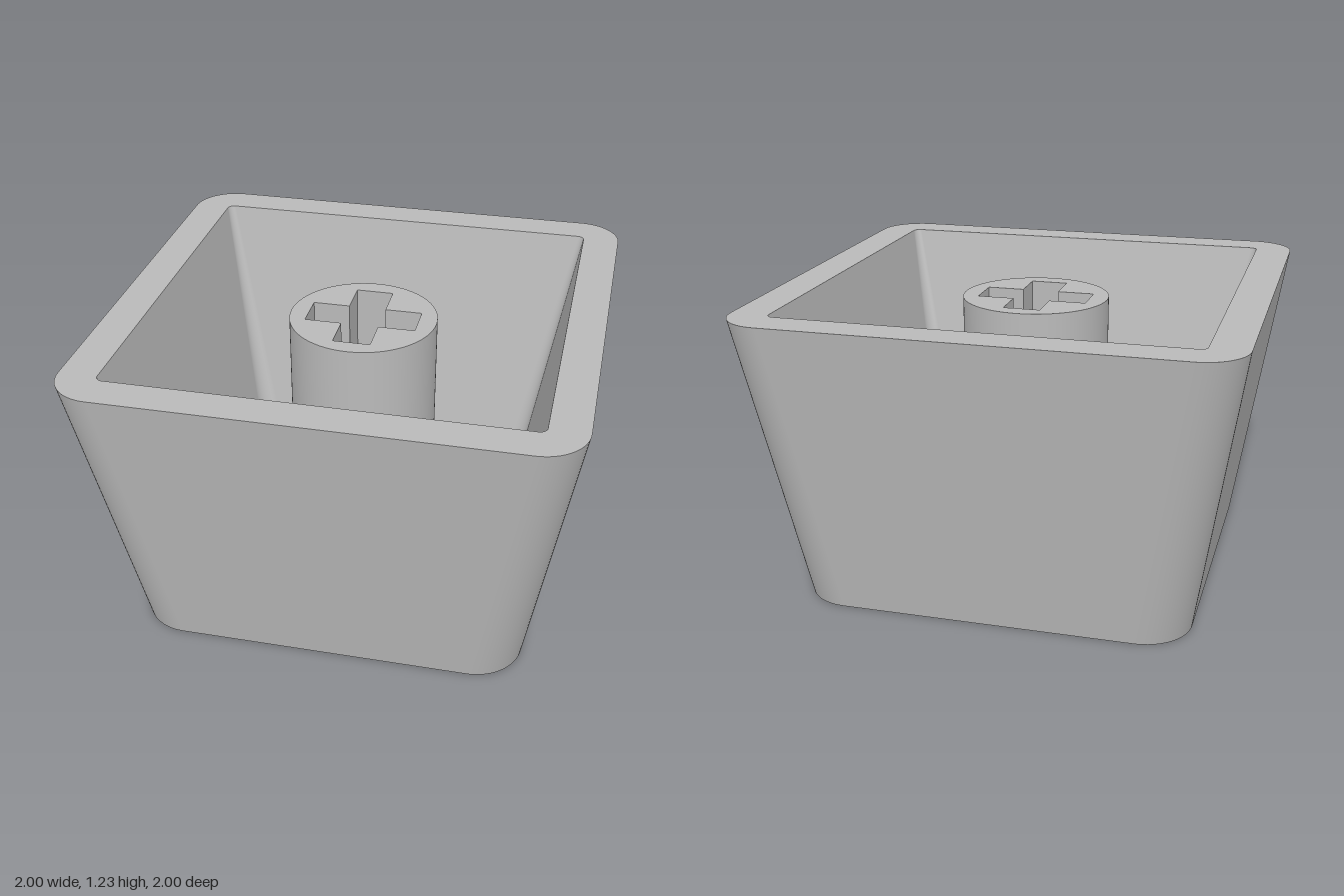
import * as THREE from 'three';
import { toCreasedNormals } from 'three/addons/utils/BufferGeometryUtils.js';

const HEIGHT = 1.225, FLOOR = 0.16, STEM_TOP = 1.155, ARC = 16;

// Rounded square outline: points with the heading of their side normal
function ring(half, radius) {
  const points = [];
  for (let corner = 0; corner < 4; corner++) {
    const mid = (corner + 0.5) * Math.PI / 2, c = half - radius;
    for (let i = 0; i <= ARC; i++) {
      const angle = (corner + i / ARC) * Math.PI / 2;
      points.push({
        angle,
        x: Math.sign(Math.cos(mid)) * c + radius * Math.cos(angle),
        z: Math.sign(Math.sin(mid)) * c + radius * Math.sin(angle),
      });
    }
  }
  return points;
}

// Tapered wall between two outlines, with exact smooth normals
function taperedWall(low, yLow, high, yHigh, inward) {
  const positions = [], normals = [], index = [], n = low.length;
  low.forEach((a, i) => {
    const b = high[i];
    const rise = new THREE.Vector3(b.x - a.x, yHigh - yLow, b.z - a.z);
    const along = new THREE.Vector3(-Math.sin(a.angle), 0, Math.cos(a.angle));
    const normal = rise.cross(along).normalize().multiplyScalar(inward ? -1 : 1);
    positions.push(a.x, yLow, a.z, b.x, yHigh, b.z);
    normals.push(...normal.toArray(), ...normal.toArray());
    const p = 2 * i, q = 2 * ((i + 1) % n);
    if (inward) index.push(p, q + 1, p + 1, p, q, q + 1);
    else index.push(p, p + 1, q + 1, p, q + 1, q);
  });
  const geometry = new THREE.BufferGeometry();
  geometry.setAttribute('position', new THREE.Float32BufferAttribute(positions, 3));
  geometry.setAttribute('normal', new THREE.Float32BufferAttribute(normals, 3));
  geometry.setIndex(index);
  return geometry;
}

const outline = (points) => points.map((p) => new THREE.Vector2(p.x, p.z));

// Flat horizontal face, optionally with a hole, looking up or down
function flatFace(points, y, hole, down) {
  const shape = new THREE.Shape(outline(points));
  if (hole) shape.holes.push(new THREE.Path(outline(hole)));
  return new THREE.ShapeGeometry(shape)
    .rotateX(down ? Math.PI / 2 : -Math.PI / 2)
    .translate(0, y, 0);
}

// Round post with a cross-shaped socket
function stemGeometry() {
  const shape = new THREE.Shape().absarc(0, 0, 0.31, 0, Math.PI * 2);
  const w = 0.078, l = 0.233;
  const cross = [
    [w, w], [w, l], [-w, l], [-w, w], [-l, w], [-l, -w],
    [-w, -w], [-w, -l], [w, -l], [w, -w], [l, -w], [l, w],
  ].map(([x, y]) => new THREE.Vector2(x, y));
  shape.holes.push(new THREE.Path(cross));
  const geometry = new THREE.ExtrudeGeometry(shape, {
    depth: STEM_TOP - FLOOR, bevelEnabled: false, curveSegments: 64,
  });
  geometry.rotateX(-Math.PI / 2).translate(0, FLOOR, 0);
  return toCreasedNormals(geometry, 0.5);
}

export function createModel() {
  const model = new THREE.Group();
  model.name = 'keycap';
  const grey = new THREE.MeshStandardMaterial({ color: 0xbababa });
  grey.name = 'grey plastic';

  const add = (name, geometry) => {
    const mesh = new THREE.Mesh(geometry, grey);
    mesh.name = name;
    model.add(mesh);
  };

  const outerLow = ring(0.805, 0.2), outerHigh = ring(1, 0.18);
  const innerLow = ring(0.65, 0.08), innerHigh = ring(0.845, 0.03);

  // Shell
  add('outerWall', taperedWall(outerLow, 0, outerHigh, HEIGHT, false));
  add('innerWall', taperedWall(innerLow, FLOOR, innerHigh, HEIGHT, true));
  add('rim', flatFace(outerHigh, HEIGHT, innerHigh, false));
  add('innerFloor', flatFace(innerLow, FLOOR, null, false));
  add('base', flatFace(outerLow, 0, null, true));

  // Mounting post
  add('stem', stemGeometry());

  return model;
}
